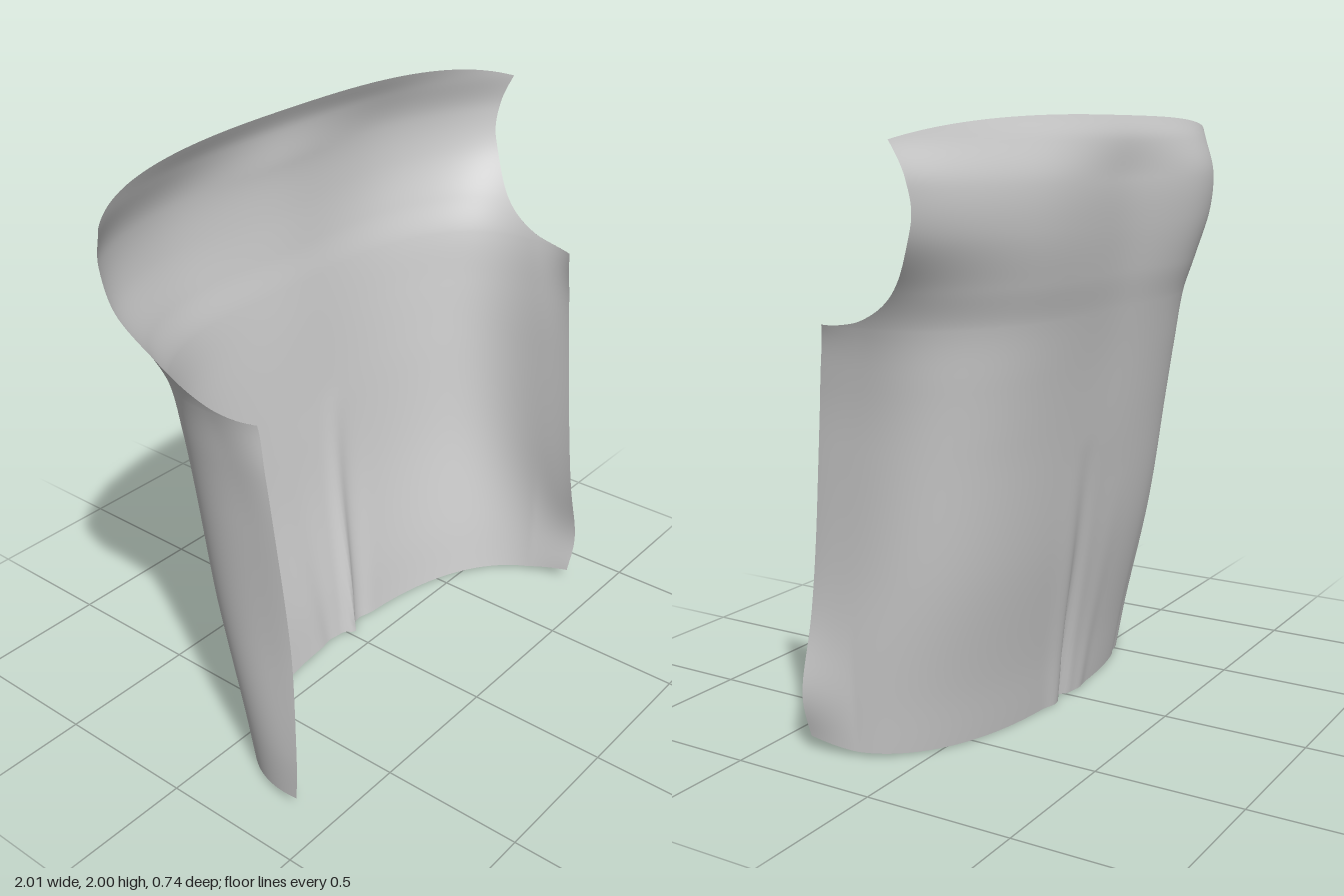
import * as THREE from 'three';

const { lerp, smoothstep } = THREE.MathUtils;

// Torso form as superellipse sections: height, back z, half width, centre z, squareness
const BODY = [
  [0, -0.115, 0.81, 0.36, 2.4],
  [0.2, -0.143, 0.815, 0.35, 2.6],
  [0.6, -0.212, 0.8, 0.25, 3],
  [1, -0.265, 0.81, 0.2, 3.1],
  [1.2, -0.295, 0.825, 0.15, 2.9],
  [1.38, -0.327, 0.855, 0.1, 2.6],
  [1.5, -0.35, 0.91, 0.1, 2.7],
  [1.66, -0.367, 1.045, 0.2, 3],
  [1.8, -0.369, 1.107, 0.25, 3],
  [1.925, -0.35, 1.148, 0.25, 2.6],
  [2, -0.315, 1.17, 0.25, 2.6],
];

// Open edges seen from the side, as z,y: straight side edge, then the armhole
const curve = (...p) => new THREE.SplineCurve(p.map((a) => new THREE.Vector2(...a)));
const SIDE_EDGE = curve([0.36, 0.03], [0.37, 0.2], [0.353, 0.5], [0.325, 0.8], [0.295, 1.1], [0.268, 1.38]);
const ARMHOLE = curve([0.268, 1.38], [0.14, 1.388], [0, 1.455], [-0.1, 1.565], [-0.165, 1.7], [-0.165, 1.82], [-0.125, 1.925]);

// Soft creases rising from the hem: x at the hem, lean, depth, width, height
const FOLDS = [
  [0.025, 0.09, 0.035, 0.03, 0.95],
  [0.1, 0.1, -0.012, 0.05, 0.9],
  [-0.08, -0.06, -0.008, 0.05, 0.8],
  [-0.47, -0.08, 0.006, 0.04, 0.8],
  [-0.69, -0.05, 0.012, 0.03, 0.6],
];

const bump = (d, w) => Math.exp(-(d * d) / (w * w));

// Smooth interpolation of one body column at height y
function profile(column, y) {
  const last = BODY.length - 1;
  const slope = (i) => {
    const a = BODY[Math.max(0, i - 1)];
    const b = BODY[Math.min(last, i + 1)];
    return (b[column] - a[column]) / (b[0] - a[0]);
  };
  let i = 0;
  while (i < last - 1 && y > BODY[i + 1][0]) i++;
  const h = BODY[i + 1][0] - BODY[i][0];
  const k = (y - BODY[i][0]) / h;
  const blend = k * k * (3 - 2 * k);
  const tangents = k * (1 - k) * ((1 - k) * slope(i) - k * slope(i + 1));
  return lerp(BODY[i][column], BODY[i + 1][column], blend) + h * tangents;
}

const section = (y) => [1, 2, 3, 4].map((column) => profile(column, y));

// Angle around the body at which its surface reaches the open edge
function edgeAngle({ x: z, y }) {
  const [zBack, , zMid, n] = section(y);
  const depth = (zMid - z) / (zMid - zBack);
  return Math.atan2((1 - Math.abs(depth) ** n) ** (1 / n), depth);
}

function bodyPoint(angle, y) {
  const [zBack, rx, zMid, n] = section(y);
  const s = Math.sin(angle);
  const c = Math.cos(angle);
  const r = (Math.abs(s) ** n + Math.abs(c) ** n) ** (-1 / n);
  return new THREE.Vector3(rx * r * s, y, zMid - (zMid - zBack) * r * c);
}

function addDrape(p) {
  const { x, y } = p;
  // hollow between the shoulder blades
  const blades = smoothstep(y, 0.9, 1.6) * (1 - smoothstep(y, 1.8, 2));
  p.z += blades * (0.022 * bump(x, 0.25) - 0.01 * bump(Math.abs(x) - 0.52, 0.2));
  for (const [x0, lean, depth, width, height] of FOLDS) {
    const fade = Math.max(0, 1 - y / height);
    p.z += depth * fade * bump(x - x0 - lean * y, width * (0.7 + y / height));
  }
  // the left front corner of the hem flares out
  if (x > 0.7 && p.z > 0.2) {
    const k = (p.z - 0.2) / 0.17;
    p.x += 0.03 * k * bump(y - 0.2, 0.16);
    p.y += 0.02 * k * bump(y, 0.1);
  }
}

// Each row runs between matching points of the two open edges
function clothGeometry(cols, sideRows, armRows) {
  const rows = [];
  for (let j = 0; j < sideRows; j++) {
    const s = j / sideRows;
    rows.push({ mid: 1.38 * s, edge: SIDE_EDGE.getPoint(s) });
  }
  for (let j = 0; j <= armRows; j++) {
    const s = j / armRows;
    rows.push({ mid: lerp(1.38, 2, s), edge: ARMHOLE.getPoint(s) });
  }

  const positions = [];
  const index = [];
  rows.forEach(({ mid, edge }, j) => {
    const end = edgeAngle(edge);
    for (let i = 0; i <= cols; i++) {
      const t = (2 * i) / cols - 1;
      const p = bodyPoint(t * end, lerp(mid, edge.y, Math.abs(t) ** 3));
      addDrape(p);
      positions.push(p.x, p.y, p.z);
      if (i < cols && j < rows.length - 1) {
        const a = j * (cols + 1) + i;
        const b = a + cols + 1;
        index.push(a, b, a + 1, a + 1, b, b + 1);
      }
    }
  });
  const geometry = new THREE.BufferGeometry();
  geometry.setAttribute('position', new THREE.Float32BufferAttribute(positions, 3));
  geometry.setIndex(index);
  geometry.computeVertexNormals();
  return geometry;
}

export function createModel() {
  const group = new THREE.Group();
  group.name = 'garmentBack';

  // draped back panel, wrapping forward at both sides
  const material = new THREE.MeshStandardMaterial({ color: 0xcccccc, side: THREE.DoubleSide });
  const panel = new THREE.Mesh(clothGeometry(180, 50, 48), material);
  panel.name = 'backPanel';
  group.add(panel);
  return group;
}
